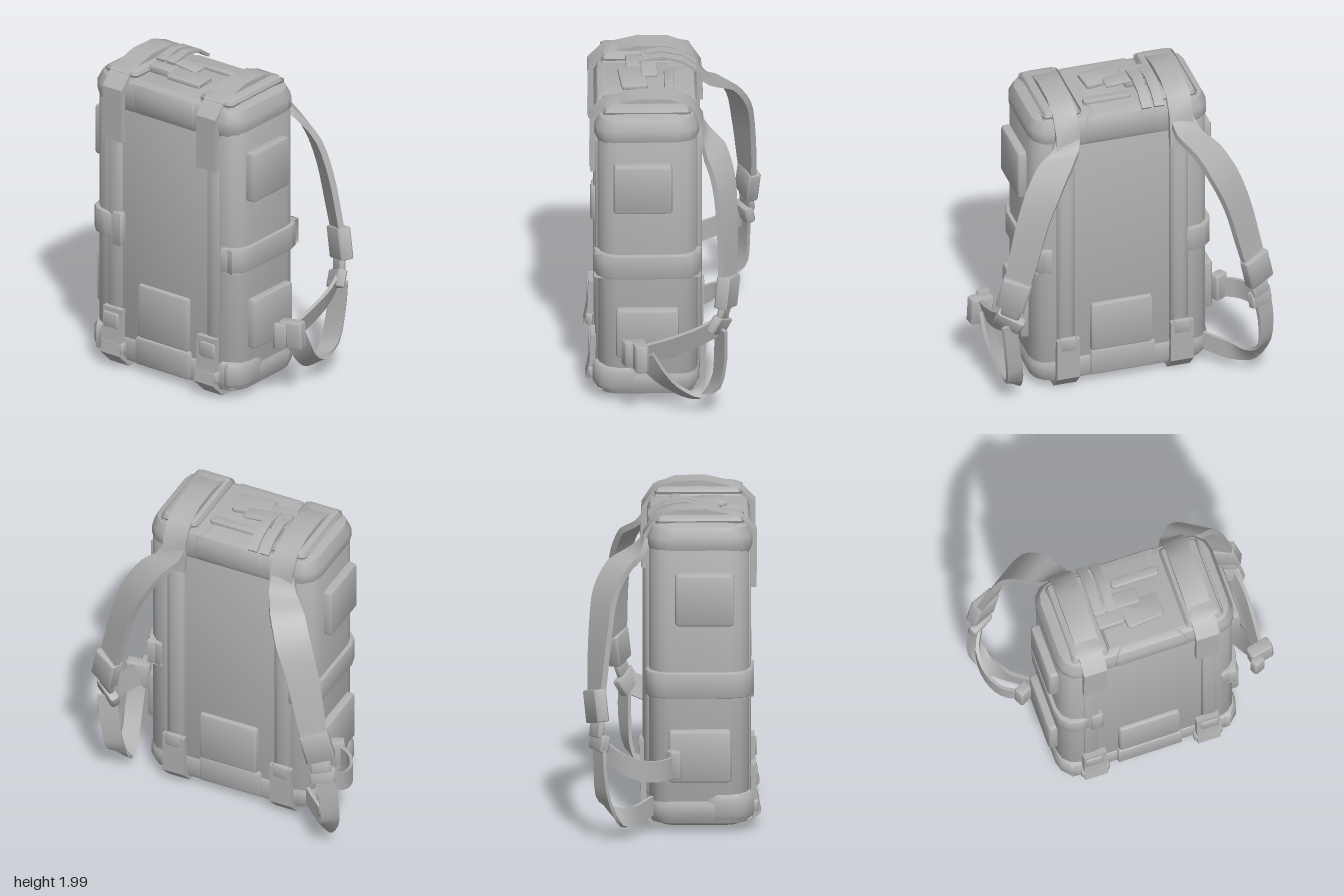
import * as THREE from 'three';
import { toCreasedNormals } from 'three/addons/utils/BufferGeometryUtils.js';

const V = (x, y, z) => new THREE.Vector3(x, y, z);

// Skin a row of matching closed cross-sections, with end caps
function loft(rings) {
  const n = rings[0].length, tris = [];
  const tri = (a, b, c) => tris.push([a, b, c]);
  for (let i = 0; i < rings.length - 1; i++) {
    for (let j = 0; j < n; j++) {
      const k = (j + 1) % n, a = rings[i], b = rings[i + 1];
      tri(a[j], a[k], b[k]);
      tri(a[j], b[k], b[j]);
    }
  }
  const first = rings[0], last = rings[rings.length - 1];
  for (let j = 1; j < n - 1; j++) {
    tri(first[0], first[j + 1], first[j]);
    tri(last[0], last[j], last[j + 1]);
  }
  // turn all faces outward
  let volume = 0;
  for (const [a, b, c] of tris) volume += a.dot(V(0, 0, 0).crossVectors(b, c));
  const pos = [];
  for (const [a, b, c] of tris) {
    for (const p of volume < 0 ? [a, c, b] : [a, b, c]) pos.push(p.x, p.y, p.z);
  }
  const g = new THREE.BufferGeometry();
  g.setAttribute('position', new THREE.Float32BufferAttribute(pos, 3));
  return toCreasedNormals(g, 0.7);
}

// Padded block: corner radius r seen from above, edge inset e at top and bottom
function block(x0, x1, y0, y1, z0, z1, r = 0.03, e = 0.02, seg = 2) {
  const ring = (y, d) => {
    const pts = [], q = Math.max(r - d * 0.5, 0.004);
    const corners = [[x1 - d - q, z1 - d - q], [x0 + d + q, z1 - d - q],
      [x0 + d + q, z0 + d + q], [x1 - d - q, z0 + d + q]];
    corners.forEach(([cx, cz], c) => {
      for (let i = 0; i <= seg; i++) {
        const a = (c + i / seg) * Math.PI / 2;
        pts.push(V(cx + q * Math.cos(a), y, cz + q * Math.sin(a)));
      }
    });
    return pts;
  };
  return loft([ring(y0, e), ring(y0 + e * 0.3, e * 0.3), ring(y0 + e, 0),
    ring(y1 - e, 0), ring(y1 - e * 0.3, e * 0.3), ring(y1, e)]);
}

// Flat webbing along a path; widths holds half-width vectors for the path points
function webbing(points, widths, thick, samples = 0) {
  const P = points.map((p) => V(...p));
  const W = P.map((_, i) => V(...widths[Math.min(i, widths.length - 1)]));
  let centers = P, sides = W;
  if (samples) {
    const c = new THREE.CatmullRomCurve3(P);
    centers = []; sides = [];
    for (let i = 0; i <= samples; i++) {
      centers.push(c.getPoint(i / samples));
      const f = (i / samples) * (W.length - 1), k = Math.min(Math.floor(f), W.length - 2);
      sides.push(W[k].clone().lerp(W[k + 1], f - k));
    }
  }
  const rings = centers.map((c, i) => {
    const t = centers[Math.min(i + 1, centers.length - 1)].clone()
      .sub(centers[Math.max(i - 1, 0)]);
    const w = sides[i], n = t.cross(w).setLength(thick / 2);
    return [c.clone().add(w).add(n), c.clone().sub(w).add(n),
      c.clone().sub(w).sub(n), c.clone().add(w).sub(n)];
  });
  return loft(rings);
}

export function createModel() {
  const canvas = new THREE.MeshStandardMaterial({ color: 0xb0b0b0 });
  canvas.name = 'grey canvas';
  const pack = new THREE.Group();
  pack.name = 'backpack';
  const add = (name, geometry) => {
    const m = new THREE.Mesh(geometry, canvas);
    m.name = name;
    pack.add(m);
    return m;
  };
  const box = (name, c, s, rot = [0, 0, 0]) => {
    const m = add(name, block(-s[0] / 2, s[0] / 2, -s[1] / 2, s[1] / 2, -s[2] / 2, s[2] / 2, 0.012, 0.01, 1));
    m.position.set(...c);
    m.rotation.set(...rot);
  };

  // Main bag with its lid and base
  add('mainBag', block(-0.4, 0.4, 0.06, 1.85, -0.13, 0.445, 0.02, 0.02));
  add('lid', block(-0.46, 0.46, 1.68, 1.9, -0.145, 0.465, 0.03, 0.06));
  add('base', block(-0.46, 0.46, 0.04, 0.2, -0.14, 0.46, 0.03, 0.03));
  add('lidBand', block(-0.22, 0.23, 1.69, 1.905, -0.15, 0.472, 0.01, 0.06));
  add('baseBand', block(-0.21, 0.2, 0.05, 0.235, -0.15, 0.48, 0.01, 0.02));

  // Low pockets on front and back
  add('frontPocket', block(-0.2, 0.19, 0.23, 0.58, 0.4, 0.472, 0.02, 0.015));
  add('backPocket', block(-0.19, 0.2, 0.23, 0.56, -0.16, -0.1, 0.02, 0.015));

  for (const s of [-1, 1]) {
    const side = (name, x0, x1, ...rest) =>
      add(name, block(s > 0 ? x0 : -x1, s > 0 ? x1 : -x0, ...rest));
    // Side columns, end caps and the belt round them
    side('sideColumn', 0.3, 0.56, 0.1, 1.8, -0.145, 0.46, 0.12, 0.02, 3);
    side('topCap', 0.28, 0.565, 1.68, 1.92, -0.155, 0.48, 0.13, 0.09, 3);
    side('bottomCap', 0.28, 0.57, 0.03, 0.25, -0.155, 0.485, 0.13, 0.08, 3);
    side('cornerGuard', 0.38, 0.575, 0.07, 0.245, 0.15, 0.49, 0.12, 0.04, 3);
    side('sideBelt', s > 0 ? 0.41 : 0.31, 0.583, 0.84, 1.0, -0.17, 0.485, 0.13, 0.01, 3);
    // Padded ridges on front and back
    side('frontRidge', 0.33, 0.43, 0.2, 1.7, 0.4, 0.473, 0.025, 0.01);
    side('backRidge', 0.3, 0.42, 0.2, 1.75, -0.175, -0.08, 0.045, 0.02, 3);
    // Side pockets
    side('upperSidePocket', 0.5, 0.615, 1.295, 1.62, 0.01, 0.365, 0.02, 0.02);
    side('lowerSidePocket', 0.5, 0.61, 0.32, 0.645, -0.03, 0.35, 0.02, 0.02);

    // Straps wrapping over the lid and under the base
    const x = s > 0 ? 0.355 : -0.365;
    side('strapPadding', 0.24, 0.49, 1.86, 1.958, -0.11, 0.43, 0.03, 0.065);
    const wrap = (name, pts, half, thick) =>
      add(name, webbing(pts.map(([z, y]) => [x, y, z]), [[half, 0, 0]], thick));
    wrap('topWrapStrap', [[0.488, 1.5], [0.49, 1.84], [0.41, 1.92], [0.2, 1.97],
      [0.02, 1.965], [-0.1, 1.92], [-0.165, 1.82], [-0.175, 1.62]], 0.074, 0.035);
    wrap('bottomWrapStrap', [[0.485, 0.39], [0.49, 0.22], [0.515, 0.1], [0.43, 0.018],
      [-0.11, 0.018], [-0.175, 0.09], [-0.18, 0.36]], 0.072, 0.035);
    box('bottomStrapBuckle', [x + s * 0.01, 0.31, 0.495], [0.12, 0.1, 0.04]);
    box('bottomStrapTab', [x, 0.14, 0.495], [0.18, 0.07, 0.05]);
    box('backStrapBuckle', [x, 0.33, -0.185], [0.11, 0.09, 0.03]);
  }
  box('beltBuckle', [-0.345, 0.91, 0.465], [0.08, 0.22, 0.05]);

  // Carry handle and loose webbing on the lid
  box('handleBaseLeft', [-0.18, 1.925, 0.19], [0.17, 0.05, 0.18]);
  box('handleFlap', [0.02, 1.925, 0.24], [0.24, 0.03, 0.16], [0, 0.1, -0.06]);
  box('handleTongue', [0.05, 1.91, 0.02], [0.3, 0.035, 0.06]);
  box('handleBridge', [-0.12, 1.955, 0.14], [0.3, 0.02, 0.1], [0, 0, -0.1]);
  for (const x of [-0.235, -0.155]) {
    add('handleWebbing', webbing([[x, 1.96, 0.2], [x, 1.985, 0.06], [x, 1.96, -0.06],
      [x, 1.9, -0.145]], [[0.03, 0, 0]], 0.018));
  }

  // Shoulder straps, each hanging a little differently
  add('rightShoulderStrap', webbing([[-0.37, 1.8, -0.15], [-0.4, 1.71, -0.22], [-0.48, 1.64, -0.33],
    [-0.56, 1.5, -0.41], [-0.635, 1.3, -0.44], [-0.695, 1.05, -0.46], [-0.755, 0.78, -0.475]],
  [[0.07, 0, 0], [0.085, 0.01, -0.02], [0.09, 0.01, -0.055], [0.09, 0, -0.06],
    [0.085, 0.01, -0.055], [0.08, 0.015, -0.045], [0.07, 0.015, -0.03]], 0.038, 18));
  add('leftShoulderStrap', webbing([[0.35, 1.8, -0.15], [0.38, 1.71, -0.19], [0.46, 1.64, -0.25],
    [0.55, 1.5, -0.3], [0.625, 1.3, -0.32], [0.685, 1.05, -0.325], [0.75, 0.78, -0.32]],
  [[-0.07, 0, 0], [-0.085, 0.01, -0.02], [-0.09, 0.01, -0.055], [-0.09, 0, -0.055],
    [-0.085, 0.01, -0.05], [-0.08, 0.015, -0.045], [-0.07, 0.015, -0.04]], 0.038, 18));
  box('rightStrapEnd', [-0.75, 0.84, -0.47], [0.18, 0.2, 0.08], [0, 0.45, -0.24]);
  box('leftStrapEnd', [0.74, 0.84, -0.32], [0.18, 0.2, 0.085], [0, -0.45, 0.24]);

  // Adjusting buckles under the strap ends
  box('rightBuckle', [-0.775, 0.62, -0.45], [0.16, 0.1, 0.06], [0.2, 0.5, -0.1]);
  box('rightBuckleNeck', [-0.77, 0.7, -0.465], [0.13, 0.1, 0.04], [0.2, 0.5, -0.2]);
  box('leftBuckle', [0.755, 0.62, -0.27], [0.18, 0.11, 0.06], [-0.4, -0.6, 0.2]);
  box('leftBuckleNeck', [0.75, 0.71, -0.3], [0.12, 0.1, 0.04], [-0.2, -0.5, 0.2]);

  // Loose lower webbing, right side
  add('rightLowerWebbing', webbing([[-0.79, 0.62, -0.45], [-0.815, 0.45, -0.445], [-0.81, 0.26, -0.42],
    [-0.75, 0.15, -0.34], [-0.66, 0.13, -0.24], [-0.52, 0.16, -0.13]],
  [[0.055, 0, -0.03], [0.05, 0, -0.03], [0.045, 0.01, -0.04], [0.03, 0.05, -0.02],
    [0, 0.06, 0], [0, 0.06, 0]], 0.022, 16));
  add('rightSideWebbing', webbing([[-0.78, 0.58, -0.43], [-0.84, 0.5, -0.31], [-0.83, 0.45, -0.17],
    [-0.77, 0.44, -0.06], [-0.67, 0.44, 0]], [[0, 0.065, 0]], 0.02, 12));
  box('rightSideBuckle', [-0.655, 0.45, 0], [0.09, 0.17, 0.07], [0, 0.5, 0]);

  // Loose lower webbing, left side
  add('leftUpperWebbing', webbing([[0.76, 0.62, -0.28], [0.79, 0.55, -0.13], [0.79, 0.49, 0.02],
    [0.78, 0.43, 0.2]], [[0.02, 0.07, 0]], 0.022, 10));
  add('leftLowerLoop', webbing([[0.78, 0.42, 0.18], [0.76, 0.27, 0.08], [0.72, 0.15, -0.05],
    [0.705, 0.11, -0.16], [0.715, 0.2, -0.25], [0.74, 0.4, -0.28], [0.76, 0.6, -0.28]],
  [[0.03, 0.035, -0.05], [0.04, 0.03, -0.04], [0.05, 0.045, 0], [0.055, 0.03, 0],
    [0.055, 0, -0.02], [0.05, 0, -0.03], [0.05, 0, -0.03]], 0.022, 18));
  box('leftSideBuckle', [0.79, 0.43, 0.21], [0.15, 0.17, 0.08], [0, 0.2, 0.05]);
  box('leftSideBuckleTab', [0.75, 0.43, 0.28], [0.08, 0.16, 0.06], [0, 0.4, 0]);

  return pack;
}
